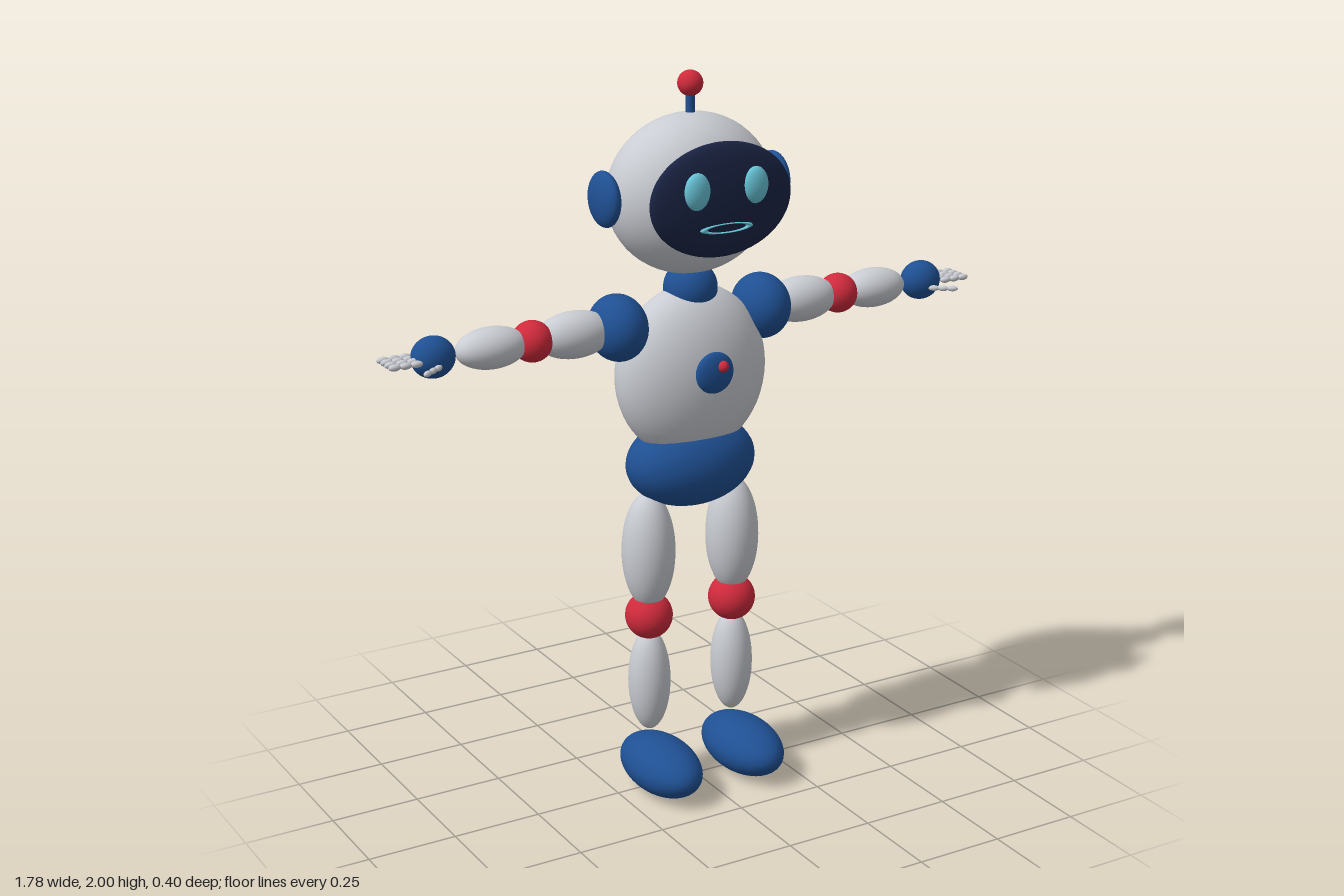
import * as THREE from 'three';

const mat = (name, color) => {
  const m = new THREE.MeshStandardMaterial({ color });
  m.name = name;
  return m;
};

export function createModel() {
  const shell = mat('light grey shell', 0xc9ccd2);
  const blue = mat('blue', 0x1f5093);
  const red = mat('red', 0xcf2a3c);
  const navy = mat('dark visor', 0x1a2444);
  const cyan = mat('cyan glow', 0x67c3d6);

  const Z = -0.027; // body axis depth
  const robot = new THREE.Group();
  robot.name = 'robot';
  const sphere = new THREE.SphereGeometry(1, 40, 28);
  const bead = new THREE.SphereGeometry(1, 14, 10);

  // Ellipsoid part: centre and radii
  const blob = (name, material, pos, radii, geo = sphere) => {
    const m = new THREE.Mesh(geo, material);
    m.name = name;
    m.position.set(...pos);
    m.scale.set(...radii);
    robot.add(m);
    return m;
  };

  // Trunk
  blob('pelvis', blue, [0, 0.936, Z], [0.19, 0.126, 0.127]);
  blob('torso', shell, [0, 1.19, Z], [0.222, 0.24, 0.131]);
  blob('neck', blue, [0, 1.42, Z], [0.073, 0.075, 0.073]);
  blob('chestDisc', blue, [0, 1.215, 0.1], [0.057, 0.057, 0.021]);
  blob('chestLight', red, [0.016, 1.234, 0.116], [0.016, 0.016, 0.016]);

  // Head
  blob('head', shell, [0, 1.677, Z], [0.236, 0.214, 0.173]);
  blob('visor', navy, [0, 1.689, 0.13], [0.211, 0.151, 0.034]);

  // Mouth: a thin flattened ring
  const mouth = new THREE.Mesh(new THREE.TorusGeometry(0.068, 0.011, 12, 48), cyan);
  mouth.name = 'mouth';
  mouth.position.set(0, 1.62, 0.158);
  mouth.scale.set(1, 0.17, 0.7);
  robot.add(mouth);

  // Antenna
  const stalk = new THREE.Mesh(new THREE.CylinderGeometry(0.012, 0.012, 0.1, 20), blue);
  stalk.name = 'antennaStalk';
  stalk.position.set(0, 1.91, Z);
  robot.add(stalk);
  blob('antennaBall', red, [0, 1.966, Z], [0.034, 0.034, 0.034]);

  // Mirrored parts
  for (const [side, s] of [['left', 1], ['right', -1]]) {
    const part = (name, material, [x, y, z], radii, geo) =>
      blob(side + name, material, [s * x, y, z], radii, geo);

    part('Eye', cyan, [0.087, 1.723, 0.157], [0.037, 0.049, 0.02]);
    part('Ear', blue, [0.256, 1.688, Z], [0.031, 0.074, 0.072]);

    // Arm
    const A = 1.34;
    part('Shoulder', blue, [0.221, A, Z], [0.078, 0.09, 0.093]);
    part('UpperArm', shell, [0.35, A, Z], [0.11, 0.063, 0.061]);
    part('Elbow', red, [0.472, A, Z], [0.055, 0.055, 0.055]);
    part('Forearm', shell, [0.588, A, Z], [0.1, 0.055, 0.058]);
    part('Hand', blue, [0.751, A, Z], [0.059, 0.055, 0.049]);

    // Four beaded fingers and a thumb
    for (let f = 0; f < 4; f++) {
      for (let k = 0; k < 3; k++) {
        part('Finger', shell, [0.812 + k * 0.03, A, Z + (f - 1.5) * 0.025],
          [0.017, 0.009, 0.0095], bead);
      }
    }
    for (let k = 0; k < 3; k++) {
      const thumb = part('Thumb', shell, [0.761 + k * 0.021, 1.326, 0.026 + k * 0.015],
        [0.016, 0.008, 0.008], bead);
      thumb.rotation.y = -s * 0.62;
    }

    // Leg
    part('Thigh', shell, [0.133, 0.695, Z], [0.074, 0.168, 0.074]);
    part('Knee', red, [0.133, 0.505, Z], [0.066, 0.066, 0.066]);
    part('Shin', shell, [0.133, 0.312, Z], [0.059, 0.15, 0.059]);
    part('Foot', blue, [0.133, 0.077, 0.037], [0.095, 0.077, 0.163]);
  }
  return robot;
}
